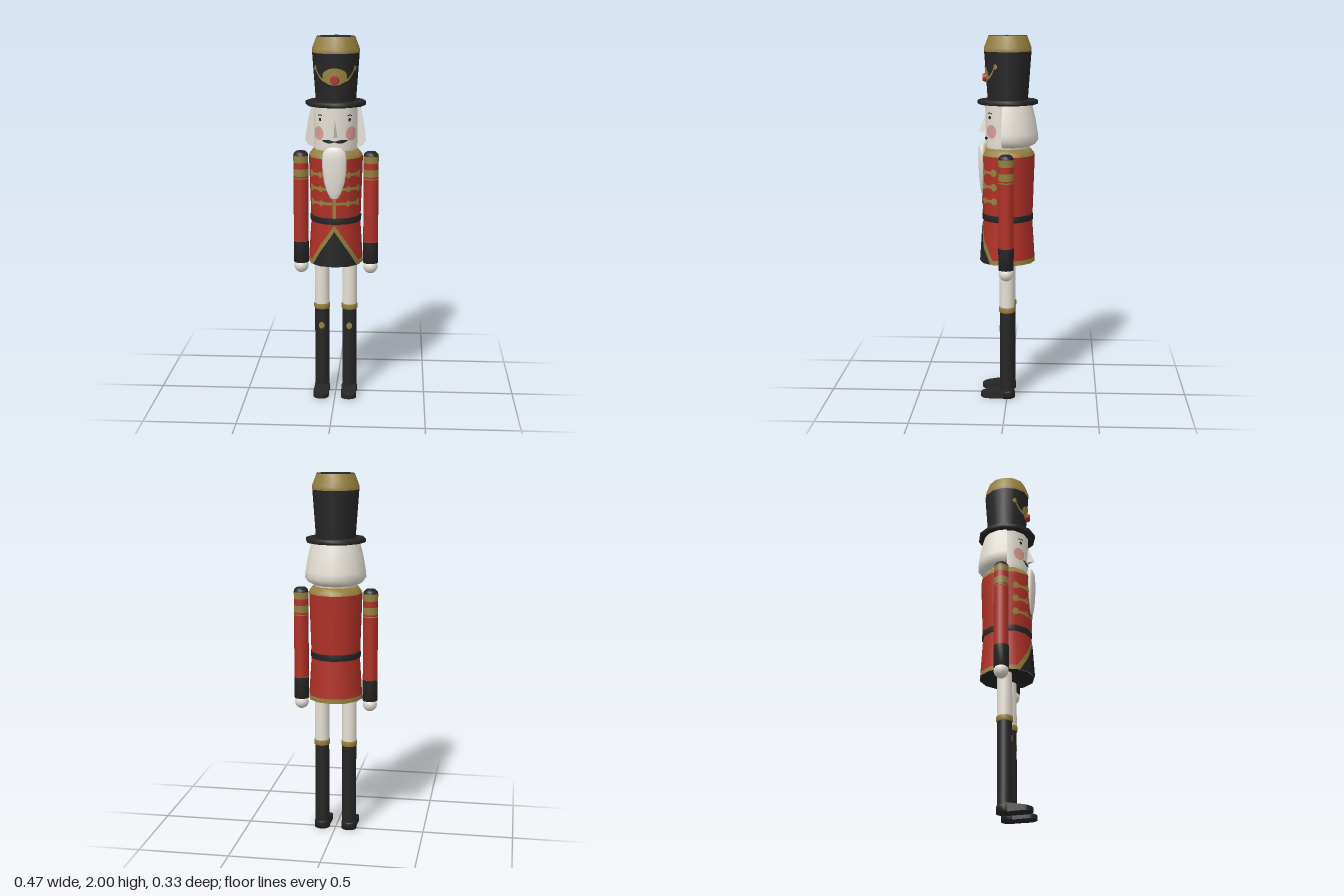
import * as THREE from 'three';

const paint = (name, color, side = THREE.FrontSide) => {
  const m = new THREE.MeshStandardMaterial({ color, side });
  m.name = name;
  return m;
};

export function createModel() {
  const white = paint('cream white', 0xe6e0d6, THREE.DoubleSide);
  const red = paint('coat red', 0xb03127);
  const black = paint('soft black', 0x262626);
  const gold = paint('old gold', 0x96803e);
  const pink = paint('cheek pink', 0xdc9c94);
  const SIDES = 12;
  const root = new THREE.Group();
  root.name = 'toySoldier';

  const add = (parent, name, geo, mat, x = 0, y = 0, z = 0) => {
    const m = new THREE.Mesh(geo, mat);
    m.name = name;
    m.position.set(x, y, z);
    parent.add(m);
    return m;
  };
  const group = (name, x = 0) => {
    const g = new THREE.Group();
    g.name = name;
    g.position.x = x;
    root.add(g);
    return g;
  };
  // turned part from [radius, height] pairs, bottom to top
  const turned = (parent, name, mat, pts, start = 0, len = Math.PI * 2, n = SIDES) =>
    add(parent, name, new THREE.LatheGeometry(pts.map(p => new THREE.Vector2(...p)), n, start, len), mat);

  // radius at a height, between two [radius, height] points
  const taper = ([r0, y0], [r1, y1]) => y => r0 + (r1 - r0) * (y - y0) / (y1 - y0);
  // thin painted plate lying on a twelve-sided turned surface, between two height curves
  const patch = (parent, name, mat, a0, a1, lo, hi, radius, lift = 0.003) => {
    const cols = 24, rows = 4, pos = [], nor = [], idx = [], step = Math.PI * 2 / SIDES;
    for (let i = 0; i <= cols; i++) {
      const a = a0 + (a1 - a0) * i / cols, local = a - Math.floor(a / step) * step;
      const facet = Math.cos(step / 2) / Math.cos(local - step / 2);
      for (let j = 0; j <= rows; j++) {
        const y = lo(a) + (hi(a) - lo(a)) * j / rows, r = radius(y) * facet + lift;
        pos.push(r * Math.sin(a), y, r * Math.cos(a));
        nor.push(Math.sin(a), 0, Math.cos(a));
        if (i < cols && j < rows) {
          const p = i * (rows + 1) + j, q = p + rows + 1;
          idx.push(p, q, q + 1, p, q + 1, p + 1);
        }
      }
    }
    const g = new THREE.BufferGeometry();
    g.setAttribute('position', new THREE.Float32BufferAttribute(pos, 3));
    g.setAttribute('normal', new THREE.Float32BufferAttribute(nor, 3));
    g.setIndex(idx);
    return add(parent, name, g, mat);
  };
  const spot = (parent, name, mat, a, y, da, dy, radius, lift) => {
    const h = t => dy * Math.sqrt(Math.max(0, 1 - ((t - a) / da) ** 2));
    return patch(parent, name, mat, a - da, a + da, t => y - h(t), t => y + h(t), radius, lift);
  };
  const stripe = (parent, name, mat, a0, a1, mid, half, radius, lift) =>
    patch(parent, name, mat, Math.min(a0, a1), Math.max(a0, a1), t => mid(t) - half, t => mid(t) + half, radius, lift);

  // coat
  const coat = group('coat');
  const hem = [0.15, 0.77], waist = [0.135, 1.0], chest = [0.147, 1.36];
  const skirtR = taper(hem, waist), jacketR = taper(waist, chest);
  turned(coat, 'coatUnderside', black, [[0, 0.772], hem]);
  turned(coat, 'hemTrim', gold, [hem, [skirtR(0.795), 0.795]]);
  turned(coat, 'skirt', red, [[skirtR(0.795), 0.795], waist]);
  turned(coat, 'belt', black, [[0.134, 1.002], [0.139, 1.004], [0.14, 1.036], [0.136, 1.038]]);
  turned(coat, 'jacket', red, [waist, chest]);
  turned(coat, 'collar', gold, [chest, [0.142, 1.375], [0.122, 1.4], [0, 1.402]]);
  patch(coat, 'skirtTrim', gold, -1.1, 1.1, () => 0.77, t => 1.0 - 0.2 * Math.abs(t), skirtR, 0.002);
  patch(coat, 'trouserFront', black, -0.92, 0.92, () => 0.77, t => 0.965 - 0.21 * Math.abs(t), skirtR, 0.004);
  patch(coat, 'frontTrim', gold, -0.07, 0.07, () => 1.038, () => 1.2, jacketR);
  for (const s of [-1, 1]) for (const y of [1.275, 1.197, 1.118]) {
    stripe(coat, 'frogging', gold, 0, s * 1.05, () => y, 0.008, jacketR);
    spot(coat, 'froggingKnot', gold, s * 0.55, y, 0.1, 0.017, jacketR, 0.004);
    spot(coat, 'froggingEnd', gold, s * 1.06, y, 0.13, 0.02, jacketR, 0.004);
  }

  // head and face
  const head = group('head');
  const faceR = () => 0.122;
  turned(head, 'face', white, [[0.116, 1.39], [0.122, 1.42], [0.122, 1.64]]);
  for (const s of [-1, 1]) {
    spot(head, 'cheek', pink, s * 0.8, 1.493, 0.3, 0.037, faceR, 0.002);
    spot(head, 'eye', black, s * 0.7, 1.568, 0.075, 0.009, faceR);
    stripe(head, 'eyebrow', black, s * 0.58, s * 0.85, t => 1.592 - 0.2 * (Math.abs(t) - 0.7) ** 2, 0.0025, faceR);
    patch(head, 'moustache', black, Math.min(0, s * 0.58), Math.max(0, s * 0.58),
      t => 1.45 + 0.02 * t * t - 0.008 * Math.sin(Math.abs(t) * 5.4),
      t => 1.454 + 0.02 * t * t + 0.006 * Math.sin(Math.abs(t) * 5.4), faceR);
  }
  const nose = new THREE.BufferGeometry();
  const [top, lft, rgt, tip] = [[0, 1.59, 0.118], [-0.016, 1.475, 0.117], [0.016, 1.475, 0.117], [0, 1.485, 0.157]];
  nose.setAttribute('position', new THREE.Float32BufferAttribute(
    [top, lft, tip, top, tip, rgt, lft, rgt, tip].flat(), 3));
  nose.computeVertexNormals();
  add(head, 'nose', nose, white);

  // hair wraps round the back, closed at its front edges
  const lock = [[0.11, 1.403], [0.148, 1.42], [0.166, 1.445], [0.163, 1.48], [0.15, 1.56], [0.13, 1.637]];
  const edge = 1.4;
  turned(head, 'hair', white, lock, edge, Math.PI * 2 - 2 * edge, 8);
  for (const a of [edge, -edge]) {
    const shape = new THREE.Shape([...lock, [0.11, 1.637]].map(p => new THREE.Vector2(...p)));
    add(head, 'hairEdge', new THREE.ShapeGeometry(shape), white).rotation.y = a - Math.PI / 2;
  }
  const beard = turned(head, 'beard', white,
    [[0, 1.14], [0.022, 1.15], [0.04, 1.185], [0.056, 1.24], [0.064, 1.3], [0.066, 1.36], [0.06, 1.4], [0.035, 1.422], [0, 1.427]]);
  beard.scale.z = 0.36;
  beard.position.z = 0.137;

  // tall hat
  const hat = group('hat');
  const crownLow = [0.108, 1.655], crownTop = [0.127, 1.915], hatR = taper(crownLow, crownTop);
  turned(hat, 'brim', black, [[0, 1.635], [0.158, 1.635]]);
  turned(hat, 'brimEdge', black, [[0.158, 1.635], [0.163, 1.64], [0.163, 1.655], [0.158, 1.66]]);
  turned(hat, 'brimTop', black, [[0.158, 1.66], [0.1, 1.66]]);
  turned(hat, 'crown', black, [crownLow, crownTop]);
  turned(hat, 'crownBand', gold, [crownTop, [0.128, 1.935], [0.103, 2.0]]);
  turned(hat, 'crownTop', black, [[0.103, 2.0], [0, 2.0]]);
  spot(hat, 'badge', gold, 0, 1.795, 0.58, 0.045, hatR);
  for (const s of [-1, 1]) {
    stripe(hat, 'hatCord', gold, s * 0.45, s * 1.02, t => 1.775 + 0.2 * (Math.abs(t) - 0.45) ** 2, 0.007, hatR, 0.004);
    spot(hat, 'cordKnot', gold, s * 1.04, 1.838, 0.1, 0.014, hatR);
  }
  add(hat, 'badgeJewel', new THREE.CylinderGeometry(0.02, 0.025, 0.02, SIDES), red, 0, 1.777, 0.124).rotation.x = Math.PI / 2;

  for (const s of [-1, 1]) {
    // arm
    const arm = group(s > 0 ? 'leftArm' : 'rightArm', s * 0.192);
    const R = 0.041;
    add(arm, 'hand', new THREE.SphereGeometry(0.04, 12, 8), white, 0, 0.738, 0);
    turned(arm, 'cuff', black, [[0, 0.76], [0.041, 0.76], [0.042, 0.88]]);
    turned(arm, 'sleeve', red, [[R, 0.88], [R, 1.245]]);
    turned(arm, 'sleevePiping', gold, [[R, 1.23], [R + 0.001, 1.231], [R + 0.001, 1.235], [R, 1.236]]);
    turned(arm, 'lowerArmband', gold, [[R, 1.245], [R, 1.285]]);
    turned(arm, 'upperSleeve', red, [[R, 1.285], [R, 1.32]]);
    turned(arm, 'upperArmband', gold, [[R, 1.32], [R, 1.358]]);
    turned(arm, 'shoulderCap', black, [[R, 1.358], [0.038, 1.37], [0.026, 1.382], [0, 1.386]]);

    // leg
    const leg = group(s > 0 ? 'leftLeg' : 'rightLeg', s * 0.077);
    turned(leg, 'trouserLeg', white, [[0.041, 0.51], [0.041, 0.78]]);
    turned(leg, 'bootTopTrim', gold, [[0.04, 0.493], [0.045, 0.497], [0.045, 0.521], [0.04, 0.525]]);
    turned(leg, 'boot', black, [[0.04, 0.035], [0.04, 0.5]]);
    turned(leg, 'heel', black, [[0, 0], [0.044, 0], [0.044, 0.035], [0.04, 0.042]]);
    spot(leg, 'bootOrnament', gold, 0, 0.4, 0.42, 0.019, () => 0.04, 0.002);

    // rounded toe, lower towards the tip
    const plan = new THREE.Shape();
    plan.moveTo(-0.038, 0);
    plan.lineTo(-0.043, -0.105);
    plan.absarc(0, -0.105, 0.043, Math.PI, Math.PI * 2, false);
    plan.lineTo(0.038, 0);
    const toe = new THREE.ExtrudeGeometry(plan, { depth: 0.05, bevelEnabled: false, curveSegments: 8 });
    toe.rotateX(-Math.PI / 2);
    const p = toe.attributes.position;
    for (let i = 0; i < p.count; i++) {
      const z = p.getZ(i);
      p.setY(i, p.getY(i) > 0.02 ? 0.052 - 0.026 * z / 0.148 : 0.005 * z / 0.148);
    }
    toe.computeVertexNormals();
    add(leg, 'toe', toe, black);
  }
  return root;
}
